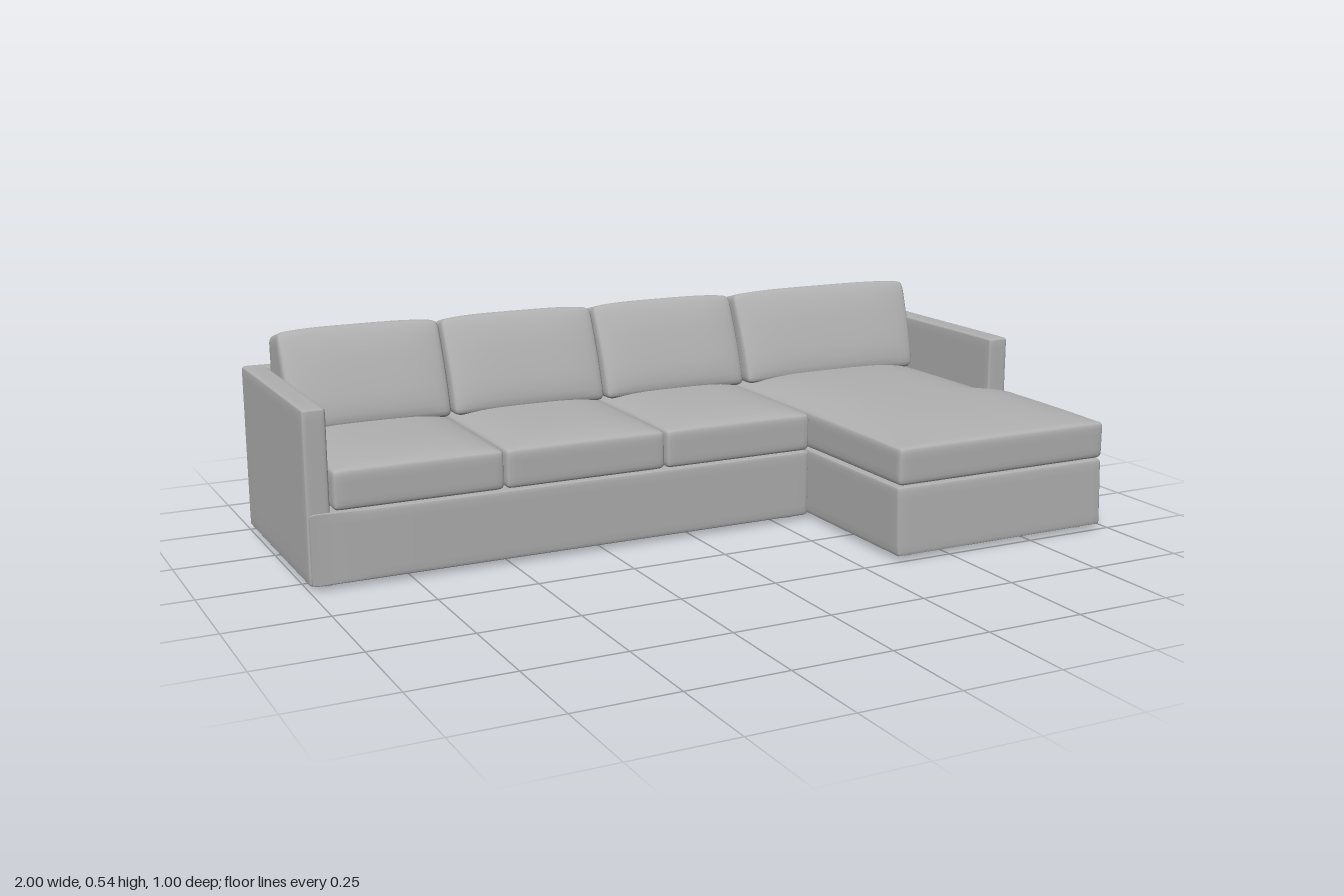
import * as THREE from 'three';
import { mergeVertices } from 'three/addons/utils/BufferGeometryUtils.js';

const fabric = new THREE.MeshStandardMaterial({ color: 0xb0b0b0 });
fabric.name = 'grey fabric';

const clamp = THREE.MathUtils.clamp;

// Rounded block between two corners; rule(p, u) may then move each vertex,
// where u holds the vertex position from -1 to 1 along each axis.
function softBlock(name, min, max, radius, segments, rule) {
  const lo = new THREE.Vector3(...min), hi = new THREE.Vector3(...max);
  const centre = lo.clone().add(hi).multiplyScalar(0.5);
  const half = hi.clone().sub(lo).multiplyScalar(0.5);
  let geo = new THREE.BoxGeometry(2, 2, 2, ...segments);
  geo.deleteAttribute('normal');
  geo.deleteAttribute('uv');
  geo = mergeVertices(geo);
  const pos = geo.attributes.position;
  const p = new THREE.Vector3(), q = new THREE.Vector3(), u = new THREE.Vector3();
  for (let i = 0; i < pos.count; i++) {
    p.fromBufferAttribute(pos, i);
    for (const a of ['x', 'y', 'z']) {
      // gather the segments near the edges so that the rounding is smooth
      const s = Math.sign(p[a]) * (1 - Math.pow(1 - Math.abs(p[a]), 2.2));
      p[a] = s * half[a];
      const inner = half[a] - radius;
      q[a] = clamp(p[a], -inner, inner);
    }
    p.sub(q).normalize().multiplyScalar(radius).add(q);
    u.copy(p).divide(half);
    p.add(centre);
    if (rule) rule(p, u);
    pos.setXYZ(i, p.x, p.y, p.z);
  }
  geo.computeVertexNormals();
  const mesh = new THREE.Mesh(geo, fabric);
  mesh.name = name;
  return mesh;
}

const dome = (a, b) => (1 - a ** 4) * (1 - b ** 4);

export function createModel() {
  const model = new THREE.Group();
  model.name = 'sectionalSofa';
  const frameSeg = [12, 10, 12];
  const frame = (name, min, max, rule) => model.add(softBlock(name, min, max, 0.009, frameSeg, rule));

  // Upholstered frame: bases, backs and arms
  frame('sofaBase', [-0.995, 0.012, -0.495], [0.343, 0.187, 0.08], (p, u) => {
    if (p.x < -0.93) p.z = Math.min(p.z, 0.074);
  });
  frame('chaiseBase', [0.347, 0.012, -0.495], [0.975, 0.187, 0.492], (p, u) => {
    // the skirt flares slightly at the bottom of the open side and front
    const low = (1 - u.y) / 2;
    if (u.x > 0.5 && p.z > 0.05) p.x += 0.025 * low * Math.sin(Math.PI * clamp((p.z - 0.05) / 0.44, 0, 1));
    if (u.z > 0.5) p.z += 0.008 * low;
  });
  frame('sofaBack', [-1, 0.012, -0.5], [0.343, 0.435, -0.455]);
  frame('chaiseBack', [0.347, 0.012, -0.5], [0.98, 0.435, -0.455]);
  frame('rightArm', [-1, 0.012, -0.5], [-0.942, 0.435, 0.07]);
  frame('leftArm', [0.92, 0.012, -0.5], [0.98, 0.435, 0.072]);

  // Seat cushions, crowned on top
  const seams = [-0.94, -0.512, -0.08, 0.343];
  for (let i = 0; i < 3; i++) {
    model.add(softBlock('seatCushion' + (i + 1), [seams[i] + 0.002, 0.19, -0.45],
      [seams[i + 1] - 0.002, 0.288, 0.085], 0.014, [16, 10, 16], (p, u) => {
        if (u.y > 0) p.y += 0.022 * u.y * dome(u.x, u.z);
      }));
  }

  // Chaise cushion, narrower where it passes the arm
  model.add(softBlock('chaiseCushion', [0.348, 0.19, -0.45], [0.975, 0.286, 0.496], 0.014,
    [16, 10, 40], (p, u) => {
      if (u.y > 0) p.y += 0.034 * u.y * dome(u.x, u.z) * (1 - 0.35 * clamp(u.z, 0, 1));
      const narrow = p.z < 0.078 ? 0.058 : 0;
      p.x -= narrow * (u.x + 1) / 2;
    }));

  // Back cushions: upright behind, sloping in front
  const backEdges = [[-0.938, -0.514], [-0.508, -0.082], [-0.076, 0.345], [0.357, 0.928]];
  backEdges.forEach(([x0, x1], i) => {
    model.add(softBlock('backCushion' + (i + 1), [x0, 0.295, -0.455], [x1, 0.535, -0.275], 0.018,
      [18, 14, 10], (p, u) => {
        const t = (u.y + 1) / 2, f = (u.z + 1) / 2;
        const front = -0.275 - 0.095 * t ** 1.3;
        p.z = -0.455 + f * (front + 0.455);
        if (u.z > 0) p.z += 0.014 * u.z * dome(u.x, u.y);
        p.y -= 0.022 * t * (1 - f);
        if (u.y > 0) p.y += 0.009 * u.y * (1 - u.x ** 4);
        // the wide cushion narrows towards its foot to clear the arm
        if (i === 3) p.x -= 0.02 * (1 - t) * (u.x + 1) / 2;
      }));
  });

  // Small feet
  const footShape = new THREE.CylinderGeometry(0.016, 0.016, 0.02, 16);
  const feet = [[-0.95, -0.45], [-0.95, 0.03], [0.3, -0.45], [0.3, 0.03],
    [0.4, -0.45], [0.4, 0.45], [0.93, -0.45], [0.93, 0.45]];
  for (const [x, z] of feet) {
    const foot = new THREE.Mesh(footShape, fabric);
    foot.name = 'foot';
    foot.position.set(x, 0.01, z);
    model.add(foot);
  }
  return model;
}
